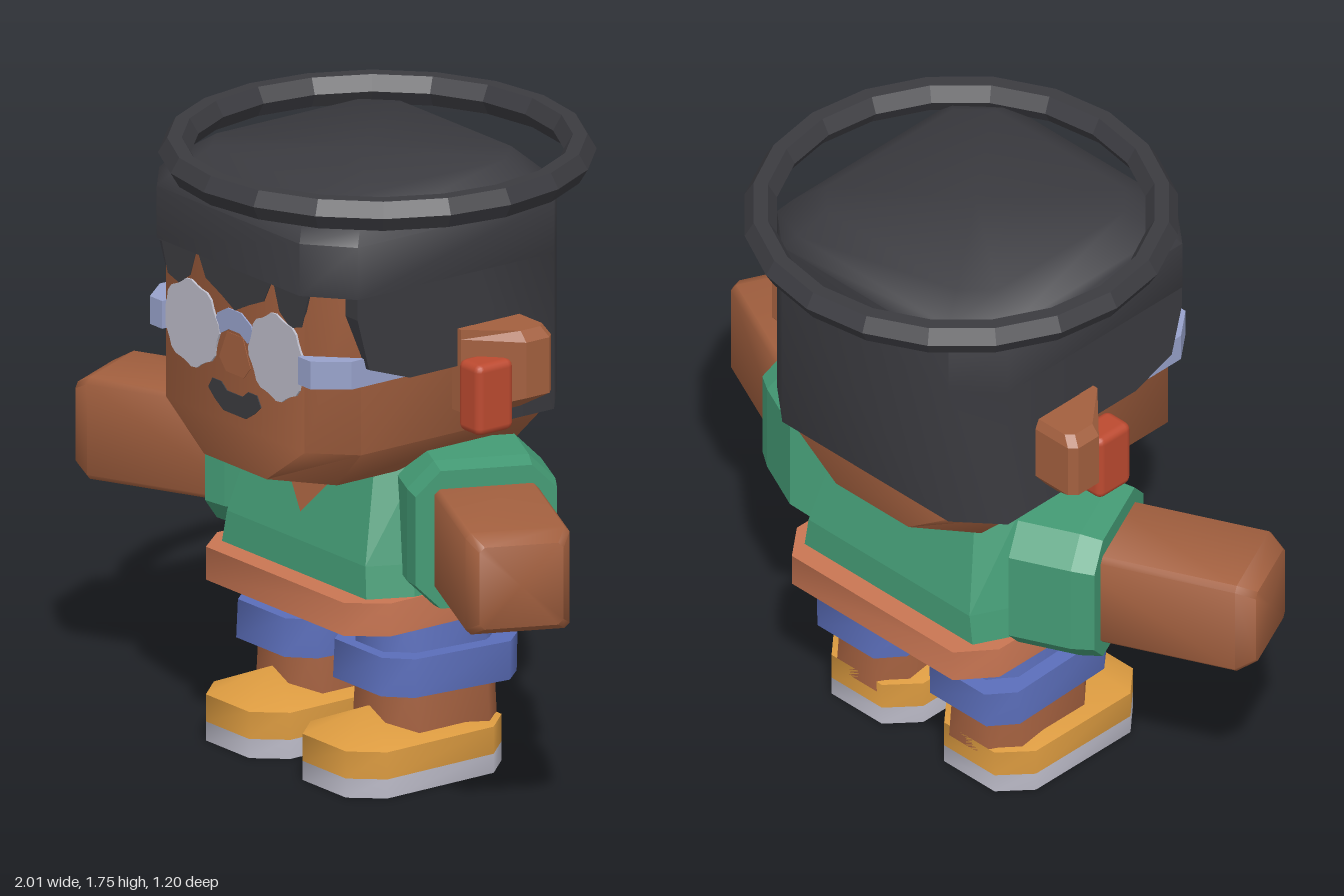
import * as THREE from 'three';
import { toCreasedNormals } from 'three/addons/utils/BufferGeometryUtils.js';
import { RoundedBoxGeometry } from 'three/addons/geometries/RoundedBoxGeometry.js';

const mat = (name, color) => {
  const m = new THREE.MeshStandardMaterial({ color });
  m.name = name;
  return m;
};

// Eight-sided ring with cut corners: half width, back z, front z, corner cut in x and z
function ring(y, hx, z0, z1, cx, cz) {
  return [
    [hx, z1 - cz], [hx - cx, z1], [cx - hx, z1], [-hx, z1 - cz],
    [-hx, z0 + cz], [cx - hx, z0], [hx - cx, z0], [hx, z0 + cz],
  ].map(([x, z]) => [x, y, z]);
}

// Solid through a stack of rings, closed at both ends (apex optional)
function faceted(rings, apex) {
  const pos = [];
  const tri = (...p) => p.forEach((v) => pos.push(...v));
  const mid = (r) => [0, 1, 2].map((k) => r.reduce((s, p) => s + p[k], 0) / r.length);
  const n = rings[0].length, first = rings[0], last = rings[rings.length - 1];
  const c0 = mid(first), c1 = apex || mid(last);
  for (let i = 0; i < n; i++) {
    const j = (i + 1) % n;
    for (let r = 0; r + 1 < rings.length; r++) {
      const a = rings[r], b = rings[r + 1];
      tri(a[i], b[i], a[j]);
      tri(b[i], b[j], a[j]);
    }
    tri(c0, first[i], first[j]);
    tri(c1, last[j], last[i]);
  }
  const g = new THREE.BufferGeometry();
  g.setAttribute('position', new THREE.Float32BufferAttribute(pos, 3));
  g.computeVertexNormals();
  return g;
}
// Same solid with its cut corners shaded smooth and its square edges sharp
const soft = (geo) => toCreasedNormals(geo, 0.97);
const loft = (rings, apex) => soft(faceted(rings, apex));

const extrude = (pts, depth) => new THREE.ExtrudeGeometry(
  new THREE.Shape(pts.map(([x, y]) => new THREE.Vector2(x, y))), { depth, bevelEnabled: false });
// Plate facing +z, outline in x and y
const plate = (pts, z, depth) => extrude(pts, depth).translate(0, 0, z);
// Upright prism, outline in x and z
const prism = (pts, y0, y1) => extrude(pts.map(([x, z]) => [x, -z]), y1 - y0)
  .rotateX(-Math.PI / 2).translate(0, y0, 0);
// Complete a left-to-right half outline by mirroring it
const mirror = (pts) => [...pts, ...pts.filter((p) => p[0] !== 0).reverse().map(([x, y]) => [-x, y])];

export function createModel() {
  const skin = mat('skin', 0xa3603f);
  const trim = mat('hem', 0xc97653);
  const dark = mat('hair', 0x3b3b40);
  const green = mat('shirt', 0x449b75);
  const blue = mat('shorts', 0x5b6eba);
  const gold = mat('shoe', 0xdc9b40);
  const pale = mat('sole and lens', 0xbcbbc8);
  const frame = mat('glasses frame', 0x98a2cb);
  const red = mat('earring', 0xbc4a30);

  const model = new THREE.Group();
  const add = (name, geo, material, parent = model) => {
    const m = new THREE.Mesh(geo, material);
    m.name = name;
    parent.add(m);
    return m;
  };

  // Head, narrowing at the jaw
  add('head', loft([
    ring(0.9, 0.3, -0.345, 0.49, 0.16, 0.12),
    ring(1.02, 0.42, -0.345, 0.49, 0.11, 0.11),
    ring(1.6, 0.42, -0.345, 0.49, 0.11, 0.11),
  ]), skin);

  // Hair crown with cut corners and a low domed top
  const crown = (y, d) => ring(y, 0.445 - d, -0.372 + d, 0.515 - d, 0.125, 0.105);
  add('hairCrown', loft([crown(1.48, 0), crown(1.63, 0), crown(1.668, 0.03),
    ring(1.735, 0.33, -0.27, 0.38, 0.08, 0.08)]), dark);

  // Hair down the back of the head
  add('hairBack', soft(prism(mirror([[-0.445, 0.01], [-0.445, -0.267], [-0.32, -0.372]]), 1.03, 1.48)), dark);

  // Sideburns, a side outline extruded across the head
  const temple = [[0.41, 1.48], [0.41, 1.42], [0.37, 1.27], [0.23, 1.22], [0, 1.22], [0, 1.48]];
  add('sideburns', extrude(temple, 0.888).translate(0, 0, -0.444).rotateY(-Math.PI / 2), dark);

  // Jagged fringe
  add('fringe', plate(mirror([[-0.335, 1.49], [-0.3, 1.38], [-0.25, 1.365], [-0.2, 1.4],
    [-0.17, 1.485], [-0.13, 1.41], [-0.06, 1.38], [0, 1.35]]), 0.486, 0.0065), dark);

  // Faceted ring over the head
  const halo = [[0.575, 1.67], [0.6, 1.712], [0.575, 1.754], [0.535, 1.754], [0.51, 1.712], [0.535, 1.67], [0.575, 1.67]]
    .map(([x, y]) => new THREE.Vector2(x, y));
  const haloGeo = new THREE.LatheGeometry(halo, 20).toNonIndexed();
  haloGeo.computeVertexNormals();
  add('headRing', haloGeo, dark);

  // Mouth, nose and glasses bridge
  add('mouth', plate([[-0.118, 1.1], [-0.1, 1.13], [-0.06, 1.13], [-0.035, 1.11], [0.035, 1.11], [0.06, 1.13],
    [0.1, 1.13], [0.118, 1.1], [0.09, 1.075], [0.05, 1.05], [-0.05, 1.05], [-0.09, 1.075]], 0.487, 0.006), dark);
  add('nose', plate([[-0.035, 1.28], [0.035, 1.28], [0.07, 1.2], [0.04, 1.165], [-0.04, 1.165], [-0.07, 1.2]], 0.487, 0.005), skin);
  add('bridge', plate([[-0.09, 1.29], [-0.075, 1.325], [-0.03, 1.35], [0.03, 1.35], [0.075, 1.325], [0.09, 1.29],
    [0.06, 1.27], [0.025, 1.29], [-0.025, 1.29], [-0.06, 1.27]], 0.488, 0.0065), frame);

  for (const s of [1, -1]) {
    const side = s > 0 ? 'left' : 'right';

    // Lens with a scalloped rim
    const lens = Array.from({ length: 32 }, (_, i) => {
      const a = (i / 32) * Math.PI * 2, r = i % 4 < 2 ? 0.125 : 0.117;
      return [s * 0.19 + r * Math.cos(a), 1.265 + r * Math.sin(a)];
    });
    add(side + 'Lens', plate(lens, 0.488, 0.0085), pale);

    // Glasses arm wrapping round the temple
    add(side + 'GlassesArm', prism([[0.305, 0.48], [0.305, 0.508], [0.36, 0.508], [0.43, 0.42], [0.43, 0.2], [0.41, 0.2], [0.41, 0.38], [0.31, 0.48]]
      .map(([x, z]) => [s * x, z]), 1.22, 1.3), frame);

    // Ear flaring outward to the back, with an earring
    const earAt = (y, out) => {
      const pts = [[0.46, 0.065], [0.59 - out, -0.06], [0.59 - out, -0.14 + out / 2], [0.57 - out, -0.16 + out / 2],
        [0.4, -0.16 + out / 2], [0.4, 0.065]].map(([x, z]) => [s * x, y, z]);
      return s > 0 ? pts.reverse() : pts;
    };
    add(side + 'Ear', faceted([earAt(1.09, 0.08), earAt(1.14, 0), earAt(1.3, 0), earAt(1.328, 0.025)]), skin);
    add(side + 'Earring', new RoundedBoxGeometry(0.097, 0.205, 0.127, 2, 0.022).translate(s * 0.522, 1.152, 0.027), red);

    // Arm and sleeve, swung forward
    const arm = new THREE.Group();
    arm.name = side + 'Arm';
    arm.position.set(s * 0.08, 0.755, -0.17);
    arm.rotation.y = s > 0 ? -0.436 : Math.PI + 0.436;
    model.add(arm);
    const sq = (y, h, c) => ring(y, h, -h, h, c, c);
    add('sleeve', faceted([sq(0.28, 0.208, 0.075), sq(0.46, 0.208, 0.075), sq(0.525, 0.198, 0.07)]).rotateZ(-Math.PI / 2), green, arm);
    add('forearm', loft([sq(0.4, 0.146, 0.015), sq(0.915, 0.146, 0.015), sq(0.966, 0.118, 0.015)]).rotateZ(-Math.PI / 2), skin, arm);

    // Leg, shorts and shoe
    const leg = new THREE.Group();
    leg.name = side + 'Leg';
    leg.position.x = s * 0.217;
    model.add(leg);
    add('shin', loft([ring(0.1, 0.138, -0.187, 0.195, 0.06, 0.07), ring(0.32, 0.12, -0.187, 0.195, 0.06, 0.07)]), skin, leg);
    add('shorts', loft([ring(0.3, 0.128, -0.187, 0.195, 0.06, 0.07), ring(0.48, 0.106, -0.187, 0.195, 0.05, 0.07)]), blue, leg);
    const cuff = add('cuff', loft([ring(-0.055, 0.168, -0.233, 0.235, 0.06, 0.07), ring(0.055, 0.166, -0.233, 0.235, 0.06, 0.07)]), blue, leg);
    cuff.position.y = 0.317;
    cuff.rotation.x = -0.04;
    const foot = (y) => ring(y, 0.172, -0.187, 0.35, 0.075, 0.085);
    add('sole', loft([foot(0), foot(0.055)]), pale, leg);
    add('shoe', loft([foot(0.055), foot(0.133)], [0, 0.21, 0.2]), gold, leg);
  }

  // Torso, hem and open collar
  add('torso', faceted([
    ring(0.55, 0.385, -0.282, 0.288, 0.06, 0.12),
    ring(0.65, 0.37, -0.28, 0.28, 0.06, 0.12),
    ring(0.92, 0.33, -0.21, 0.21, 0.07, 0.1),
  ]), green);
  add('hem', loft([ring(0.465, 0.39, -0.345, 0.353, 0.08, 0.1), ring(0.56, 0.39, -0.345, 0.353, 0.08, 0.1)]), trim);
  const collar = new THREE.BufferGeometry();
  collar.setAttribute('position', new THREE.Float32BufferAttribute(
    [-0.165, 0.905, 0.219, 0, 0.725, 0.266, 0.165, 0.905, 0.219], 3));
  collar.computeVertexNormals();
  add('collar', collar, skin);

  return model;
}
